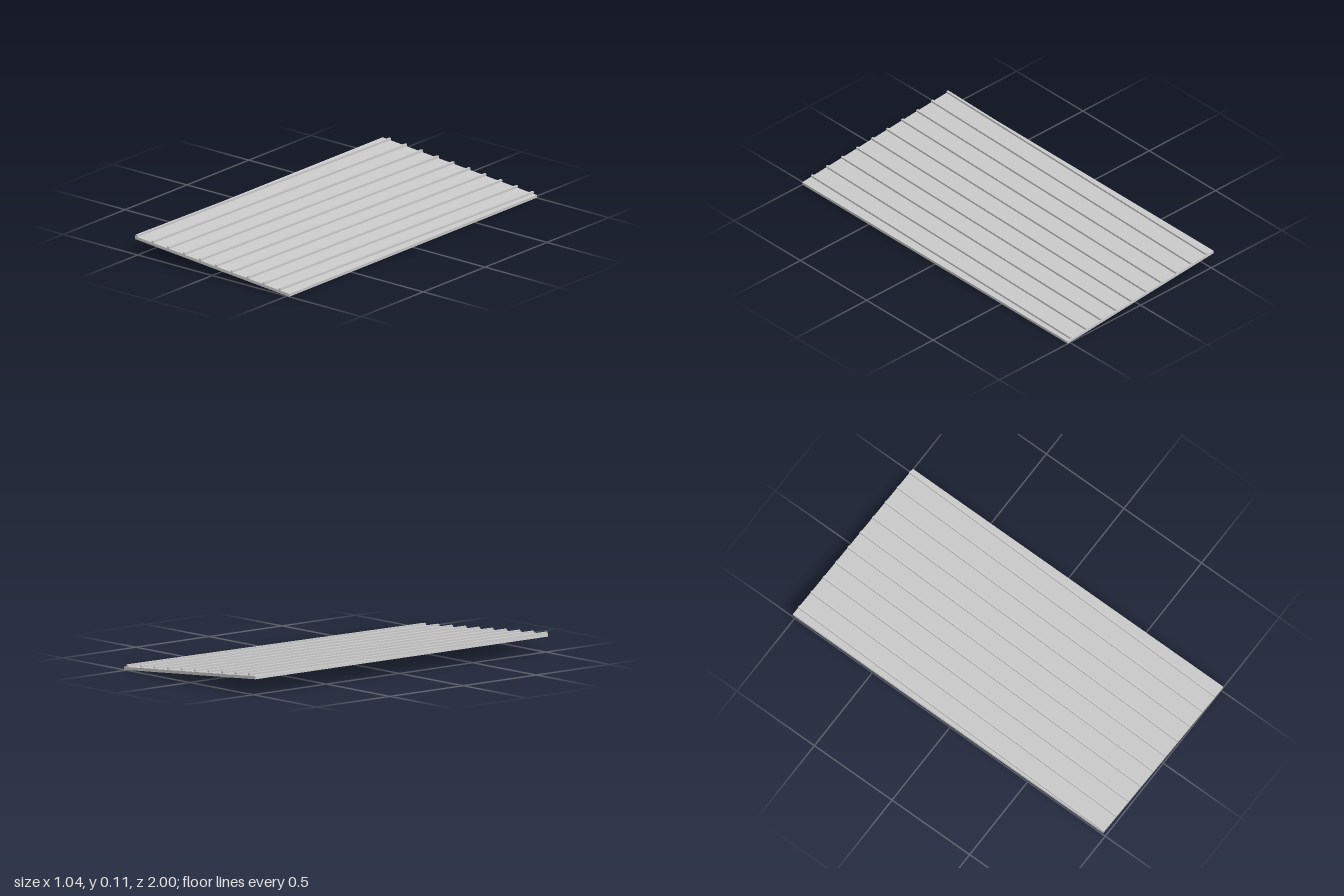
import * as THREE from 'three';

export function createModel() {
  const group = new THREE.Group();
  const material = new THREE.MeshStandardMaterial({ color: 0xcccccc, flatShading: true });

  // Thin sloping panel, falling towards +x
  const slope = 0.0803, width = 1.038, thickness = 0.0155;
  const panel = new THREE.Mesh(new THREE.BoxGeometry(width, thickness, 2), material);
  panel.name = 'panel';
  panel.rotation.z = -slope;
  panel.position.y = (width * Math.sin(slope) + thickness * Math.cos(slope)) / 2;
  group.add(panel);

  // Level battens, skewed slightly so the back end sits further towards +x
  const ribGeometry = new THREE.BoxGeometry(0.013, 0.011, 2);
  ribGeometry.applyMatrix4(new THREE.Matrix4().set(
    1, 0, -0.021, 0,
    0, 1, 0, 0,
    0, 0, 1, 0,
    0, 0, 0, 1));
  const count = 10, spacing = 0.1065;
  for (let i = 0; i < count; i++) {
    const rib = new THREE.Mesh(ribGeometry, material);
    rib.name = 'rib' + (i + 1);
    const offset = i * spacing;
    rib.position.set(-0.4875 + offset, 0.1023 - offset * Math.tan(slope), 0);
    group.add(rib);
  }
  return group;
}
